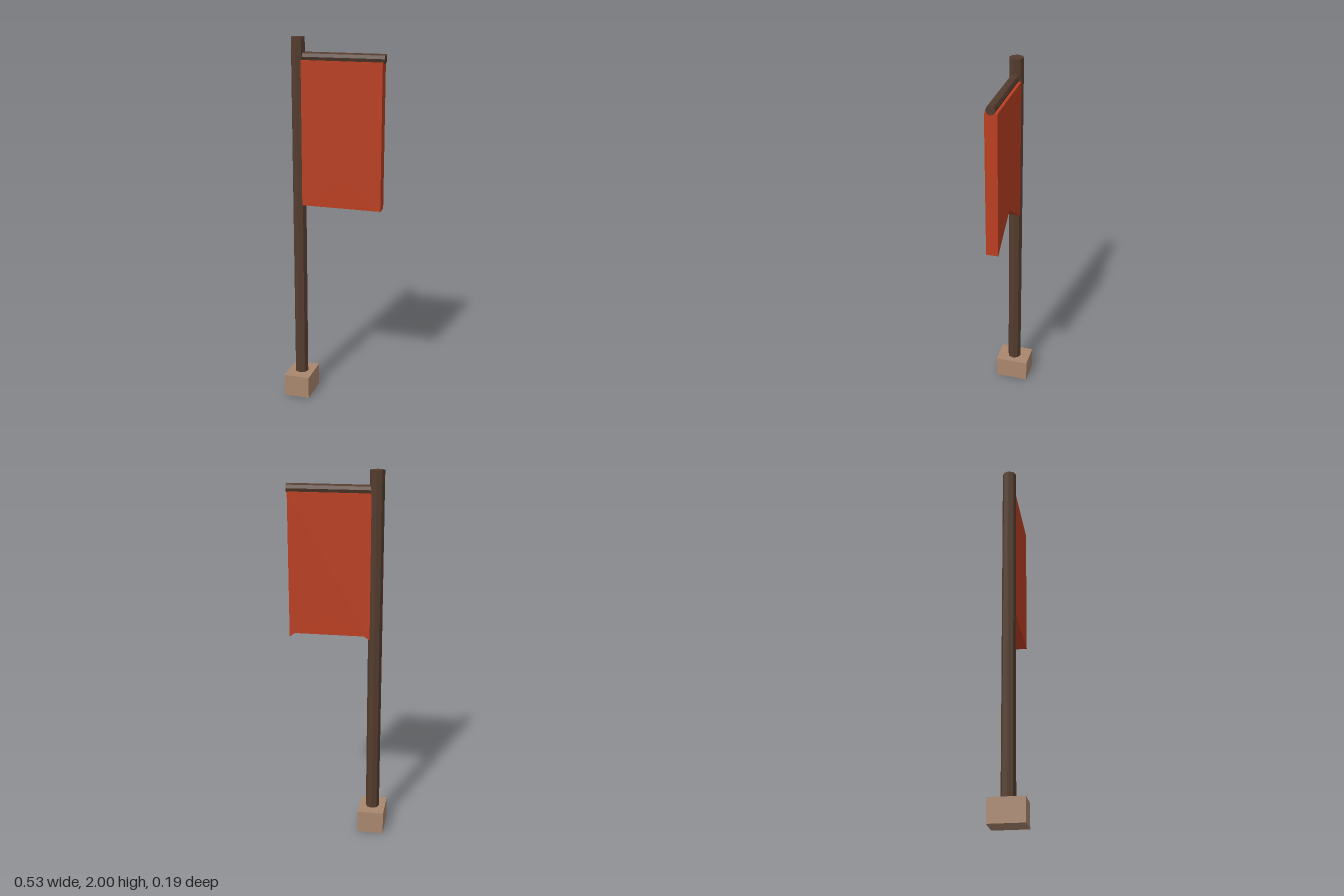
import * as THREE from 'three';

const stone = new THREE.MeshStandardMaterial({ color: 0xaa876e });
stone.name = 'tan stone';
const wood = new THREE.MeshStandardMaterial({ color: 0x543c2e });
wood.name = 'dark wood';
const cloth = new THREE.MeshStandardMaterial({ color: 0xba3f21 });
cloth.name = 'red cloth';
cloth.side = THREE.DoubleSide;
for (const m of [stone, wood, cloth]) m.flatShading = true;

export function createModel() {
  const group = new THREE.Group();
  const add = (name, geometry, material, x, y, z) => {
    const mesh = new THREE.Mesh(geometry, material);
    mesh.name = name;
    mesh.position.set(x, y, z);
    group.add(mesh);
  };
  const poleX = -0.196;

  // Base block and octagonal pole
  add('base', new THREE.BoxGeometry(0.143, 0.125, 0.187), stone, poleX, 0.0625, 0);
  add('pole', new THREE.CylinderGeometry(0.0375, 0.0375, 1.9, 8), wood, poleX, 1.05, 0);

  // Octagonal crossbar running out from the pole
  const barLength = 0.267 - poleX;
  const bar = new THREE.CylinderGeometry(0.024, 0.024, barLength, 8).rotateZ(-Math.PI / 2);
  add('crossbar', bar, wood, poleX + barLength / 2, 1.902, 0);

  // Thick banner with a V notch cut in its lower edge
  const left = -0.171, right = 0.259, bottom = 1.12, top = 1.885, depth = 0.064;
  const corners = [[left, bottom], [(left + right) / 2, bottom + 0.155], [right, bottom]]
    .map(([x, y]) => new THREE.Vector2(x, y));
  const outline = new THREE.Shape([
    ...corners, new THREE.Vector2(right, top), new THREE.Vector2(left, top),
  ]);
  add('banner', new THREE.ExtrudeGeometry(outline, { depth, bevelEnabled: false }),
    cloth, 0, 0, -depth / 2);

  // Front sheet closing the notch
  add('bannerFrontFlap', new THREE.ShapeGeometry(new THREE.Shape(corners)), cloth, 0, 0, depth / 2);

  return group;
}
